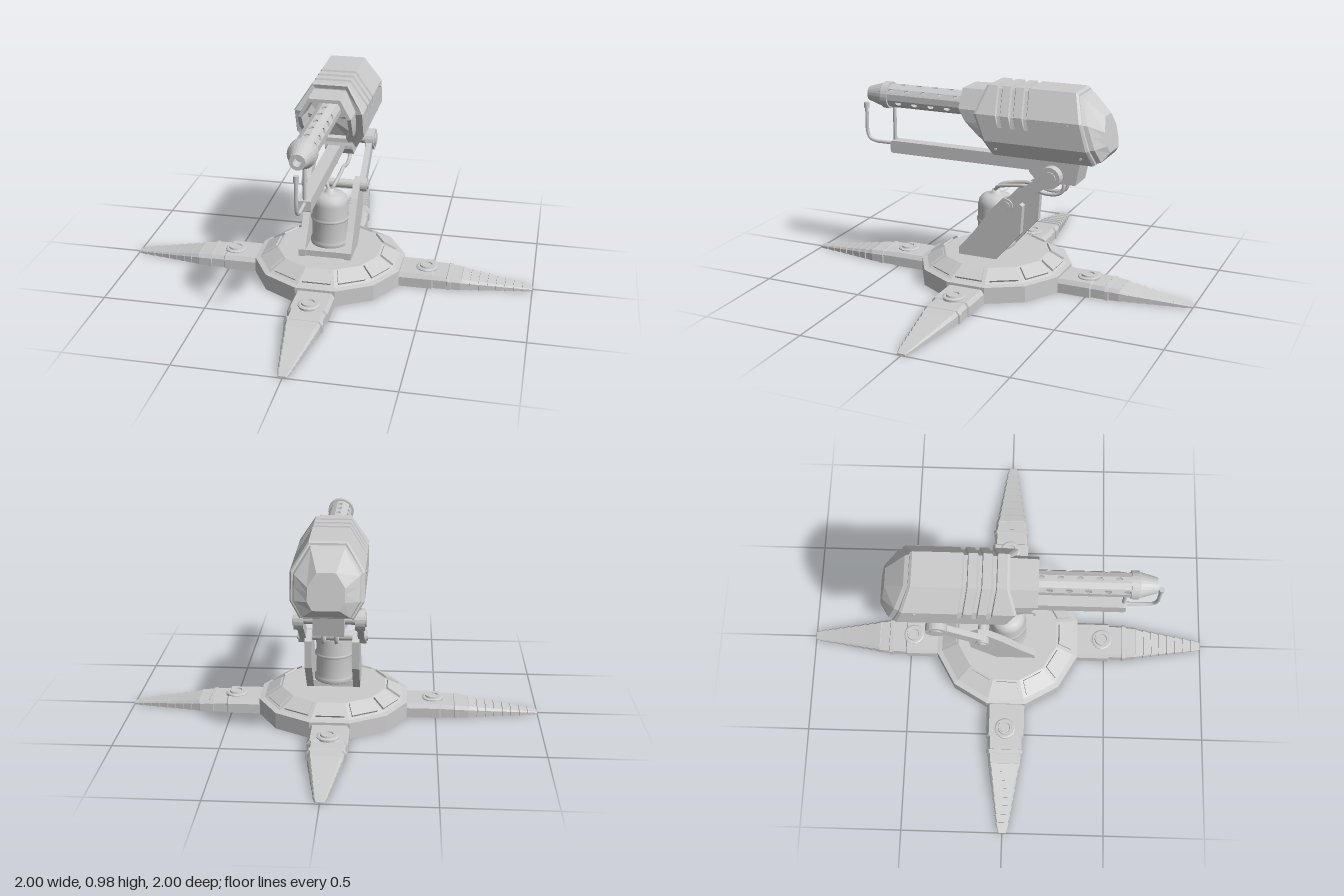
import * as THREE from 'three';

const flat = new THREE.MeshStandardMaterial({ color: 0xcccccc, flatShading: true });
const smooth = new THREE.MeshStandardMaterial({ color: 0xcccccc });
const V = (x, y, z) => new THREE.Vector3(x, y, z);

function add(parent, name, geo, mat = flat) {
  const m = new THREE.Mesh(geo, mat);
  m.name = name;
  parent.add(m);
  return m;
}

// Skin over rings of [x, y, z], each counter-clockwise seen from +z, running towards -z.
function loft(rings) {
  const n = rings[0].length, pos = [], idx = [];
  rings.forEach(r => r.forEach(p => pos.push(...p)));
  for (let j = 0; j < rings.length - 1; j++)
    for (let i = 0; i < n; i++) {
      const a = j * n + i, b = j * n + (i + 1) % n;
      idx.push(a, a + n, b, b, a + n, b + n);
    }
  [0, rings.length - 1].forEach(j => {
    const c = pos.length / 3;
    for (let k = 0; k < 3; k++) pos.push(rings[j].reduce((s, p) => s + p[k], 0) / n);
    for (let i = 0; i < n; i++) {
      const a = j * n + i, b = j * n + (i + 1) % n;
      idx.push(c, ...(j ? [b, a] : [a, b]));
    }
  });
  const g = new THREE.BufferGeometry();
  g.setAttribute('position', new THREE.Float32BufferAttribute(pos, 3));
  g.setIndex(idx);
  g.computeVertexNormals();
  return g;
}

// Slab with a side outline of [z, y] points, centred on x.
function plate(points, x, width) {
  const g = new THREE.ExtrudeGeometry(new THREE.Shape(points.map(p => new THREE.Vector2(...p))), { depth: width, bevelEnabled: false });
  return g.translate(0, 0, -width / 2).rotateY(-Math.PI / 2).translate(x, 0, 0);
}

const axle = (r, len, x, y, z) => new THREE.CylinderGeometry(r, r, len, 20).rotateZ(Math.PI / 2).translate(x, y, z);
const lathe = (pts, seg, start = 0) => new THREE.LatheGeometry(pts.map(p => new THREE.Vector2(...p)), seg, start);
const tube = (pts, r, seg = 32) => new THREE.TubeGeometry(new THREE.CatmullRomCurve3(pts), seg, r, 8);

function buildBase(root) {
  const base = new THREE.Group();
  base.name = 'base';
  root.add(base);
  // Twelve-sided hollow plinth; profile radii are measured to the flats
  const k = 1 / Math.cos(Math.PI / 12);
  const profile = [[0, .07], [.31, .07], [.31, 0], [.36, 0], [.36, .08], [.335, .085], [.25, .135], [0, .135]];
  add(base, 'plinth', lathe(profile.map(([r, y]) => [r * k, y]), 12, Math.PI / 12));
  // Raised panels on the sloping tier
  const panel = new THREE.Shape([[-.068, .014], [.068, .014], [.052, .088], [-.052, .088]].map(p => new THREE.Vector2(...p)));
  for (let i = 0; i < 12; i++) {
    const g = new THREE.ExtrudeGeometry(panel, { depth: .01, bevelEnabled: false });
    g.rotateX(-1.039).translate(0, .085, .335).rotateY(i * Math.PI / 6);
    add(base, 'slopePanel', g);
  }
}

function buildLeg(root, angle) {
  const leg = new THREE.Group();
  leg.name = 'leg';
  leg.rotation.y = angle;
  root.add(leg);
  // Stations of [distance, half width, height], then overlapping scales to the tip
  const st = [[.25, .095, .068], [.5, .095, .068], [.52, .095, .068], [.525, .086, .062], [.59, .085, .06], [.592, .092, .062], [.61, .09, .06], [.612, .083, .057], [.66, .08, .053]];
  const teeth = 8;
  for (let i = 0; i < teeth; i++) {
    const r = .662 + i * .0415, t = i / teeth, u = (i + 1) / teeth;
    st.push([r, .079 - .053 * t, .054 - .04 * t], [r + .04, .074 - .053 * u, .048 - .037 * u]);
  }
  st.push([1, .02, .009]);
  const rings = st.reverse().map(([z, w, h]) => {
    const a = w * .82, b = h * .75;
    return [[w, 0, z], [w, h * .7, z], [w * .85, h, z], [-w * .85, h, z], [-w, h * .7, z], [-w, 0, z],
      [-a, 0, z], [-a, b, z], [a, b, z], [a, 0, z]];
  });
  add(leg, 'legShell', loft(rings));
  // Round anchor cap
  const cap = lathe([[.052, .06], [.052, .072], [.045, .076], [.036, .076], [.034, .084], [.026, .084], [.024, .078], [0, .078]], 24);
  add(leg, 'anchorCap', cap.translate(0, 0, .485));
}

function buildMount(root) {
  const mount = new THREE.Group();
  mount.name = 'mount';
  root.add(mount);
  const sole = new THREE.BoxGeometry(.24, .03, .18);
  add(mount, 'mountSole', sole.translate(0, .15, .04));
  // Gas canister with bands and valve
  add(mount, 'canister', lathe([[.088, .16], [.095, .165], [.095, .185], [.088, .19], [.088, .29], [.094, .293], [.094, .303], [.088, .306],
    [.088, .375], [.082, .4], [.066, .418], [.045, .426], [.02, .428], [.02, .445], [0, .447]], 28), smooth);
  for (const s of [-1, 1]) {
    add(mount, 'sidePlate', plate([[.14, .13], [.14, .17], [.07, .25], [-.03, .385], [-.09, .45], [-.14, .46], [-.19, .42], [-.18, .28], [-.05, .13]], s * .113, .034));
    // Swinging link with bosses at both ends
    add(mount, 'link', plate([[-.103, .448], [-.137, .402], [-.352, .562], [-.318, .608]], s * .138, .03));
    for (const [y, z, r] of [[.425, -.12, .033], [.585, -.335, .052]]) {
      add(mount, 'linkBoss', axle(r, .044, s * .14, y, z));
      add(mount, 'linkBolt', axle(r * .62, .01, s * .163, y, z));
    }
    // Supply hoses
    add(mount, 'hose', tube([V(s * .008, .44, 0), V(s * .02, .465, -.015), V(s * .03, .485, -.1), V(s * .03, .49, -.17), V(s * .03, .465, -.27), V(s * .03, .475, -.34), V(s * .03, .51, -.36), V(s * .03, .56, -.34)], .009), smooth);
  }
  add(mount, 'lowerAxle', axle(.022, .28, 0, .425, -.12));
  add(mount, 'upperAxle', axle(.024, .28, 0, .585, -.335));
  add(mount, 'cradle', plate([[-.2, .66], [-.2, .575], [-.24, .535], [-.43, .535], [-.455, .66]], 0, .14));
}

// Housing section as [x, y, z at front edge, z at rear edge], right half mirrored
const half = [[.12, .655, -.03, -.53], [.165, .73, 0, -.51], [.165, .8, .025, -.49], [.165, .855, .045, -.475], [.085, .98, .01, -.43]];
const mirror = h => [...h, ...h.map(([x, ...r]) => [-x, ...r]).reverse()];
const section = mirror(half);

function buildHousing(root) {
  const body = new THREE.Group();
  body.name = 'housing';
  root.add(body);
  const ring = (s, cy, z) => section.map(p => [p[0] * s, cy + (p[1] - cy) * s, z(p)]);
  const rings = [ring(.86, .82, p => p[2] - .005), ring(.97, .82, p => p[2]), ring(1, .8, p => p[2] - .012)];
  // Three slanted vent grooves that fade out down the sides
  for (let i = 0; i < 3; i++) {
    const at = d => p => -.045 - i * .066 - d - Math.max(0, .98 - p[1]) * .16;
    const cut = d => section.map(p => p[1] > .82 ? [p[0] * .93, p[1] - (p[1] > .9 ? .014 : .004), at(d)(p)] : [p[0], p[1], at(d)(p)]);
    rings.push(ring(1, .8, at(0)), cut(.004), cut(.02), ring(1, .8, at(.026)));
  }
  // Rear edge and bulging end cap
  rings.push(ring(1, .8, p => p[3]), ring(.96, .8, p => p[3] - .012), ring(.91, .79, p => p[3] - .014),
    ring(.87, .79, p => p[3] - .035), ring(.5, .765, p => -.592 + (p[1] - .655) * .1));
  add(body, 'shell', loft(rings));
  // Open hood around the barrel root
  const hood = mirror([[.09, .69, 0], [.118, .74, .045], [.125, .8, .105], [.125, .86, .14], [.075, .95, .14]]);
  const hoodRing = (s, z) => hood.map(p => [p[0] * s, .83 + (p[1] - .83) * s, z(p)]);
  add(body, 'hood', loft([hoodRing(.8, p => Math.min(.02, p[2] - .02)), hoodRing(.86, p => p[2]), hoodRing(1, p => p[2]), hoodRing(1.04, () => -.06)]));
  // Side bolts
  for (const s of [-1, 1]) for (const [y, z] of [[.69, -.06], [.69, -.48], [.84, -.42]])
    add(body, 'shellBolt', axle(.006, .012, s * (y < .73 ? .143 : .165), y, z));
}

function buildBarrel(root) {
  const barrel = new THREE.Group();
  barrel.name = 'barrel';
  barrel.position.y = .86;
  root.add(barrel);
  const along = g => g.rotateX(Math.PI / 2);
  add(barrel, 'innerTube', along(lathe([[0, -.02], [.036, -.02], [.036, .58], [0, .58]], 20)), smooth);
  // Perforated jacket of twelve strips, holes in every second strip
  const w = .056 * Math.tan(Math.PI / 12), z0 = .0, z1 = .57;
  for (let i = 0; i < 12; i++) {
    const s = new THREE.Shape([[-w, z0], [w, z0], [w, z1], [-w, z1]].map(p => new THREE.Vector2(...p)));
    if (i % 2 === 0) for (let j = 0; j < 5; j++) {
      const hole = new THREE.Path();
      hole.absellipse(0, .15 + j * .088 + (i % 4 ? .04 : 0), .0125, .016, 0, Math.PI * 2, true);
      s.holes.push(hole);
    }
    const g = new THREE.ExtrudeGeometry(s, { depth: .006, bevelEnabled: false, curveSegments: 8 });
    // Lay the strip along z, then turn it to its place
    g.translate(0, 0, -.056).rotateX(Math.PI / 2).rotateZ(i * Math.PI / 6);
    add(barrel, 'jacketStrip', g);
  }
  // Muzzle collar and cone with an open bore
  add(barrel, 'muzzle', along(lathe([[.03, .56], [.066, .56], [.066, .595], [.06, .6], [.036, .68], [.02, .68], [.018, .63], [0, .63]], 24)));
}

function buildIgniter(root) {
  const ig = new THREE.Group();
  ig.name = 'igniter';
  root.add(ig);
  add(ig, 'rail', plate([[.56, .58], [.55, .573], [-.25, .573], [-.25, .635], [.55, .635], [.56, .628]], 0, .06));
  add(ig, 'strut', new THREE.CylinderGeometry(.009, .009, .2, 10).translate(0, .72, .548), smooth);
  add(ig, 'pilotTube', tube([V(0, .615, .55), V(0, .615, .61), V(0, .617, .66), V(0, .63, .692), V(0, .665, .705), V(0, .73, .706), V(0, .79, .706)], .009), smooth);
  add(ig, 'pilotTip', new THREE.CylinderGeometry(.013, .013, .028, 12).translate(0, .796, .706), smooth);
}

export function createModel() {
  const root = new THREE.Group();
  root.name = 'turret';
  buildBase(root);
  for (let i = 0; i < 4; i++) buildLeg(root, i * Math.PI / 2);
  buildMount(root);
  buildHousing(root);
  buildBarrel(root);
  buildIgniter(root);
  return root;
}
